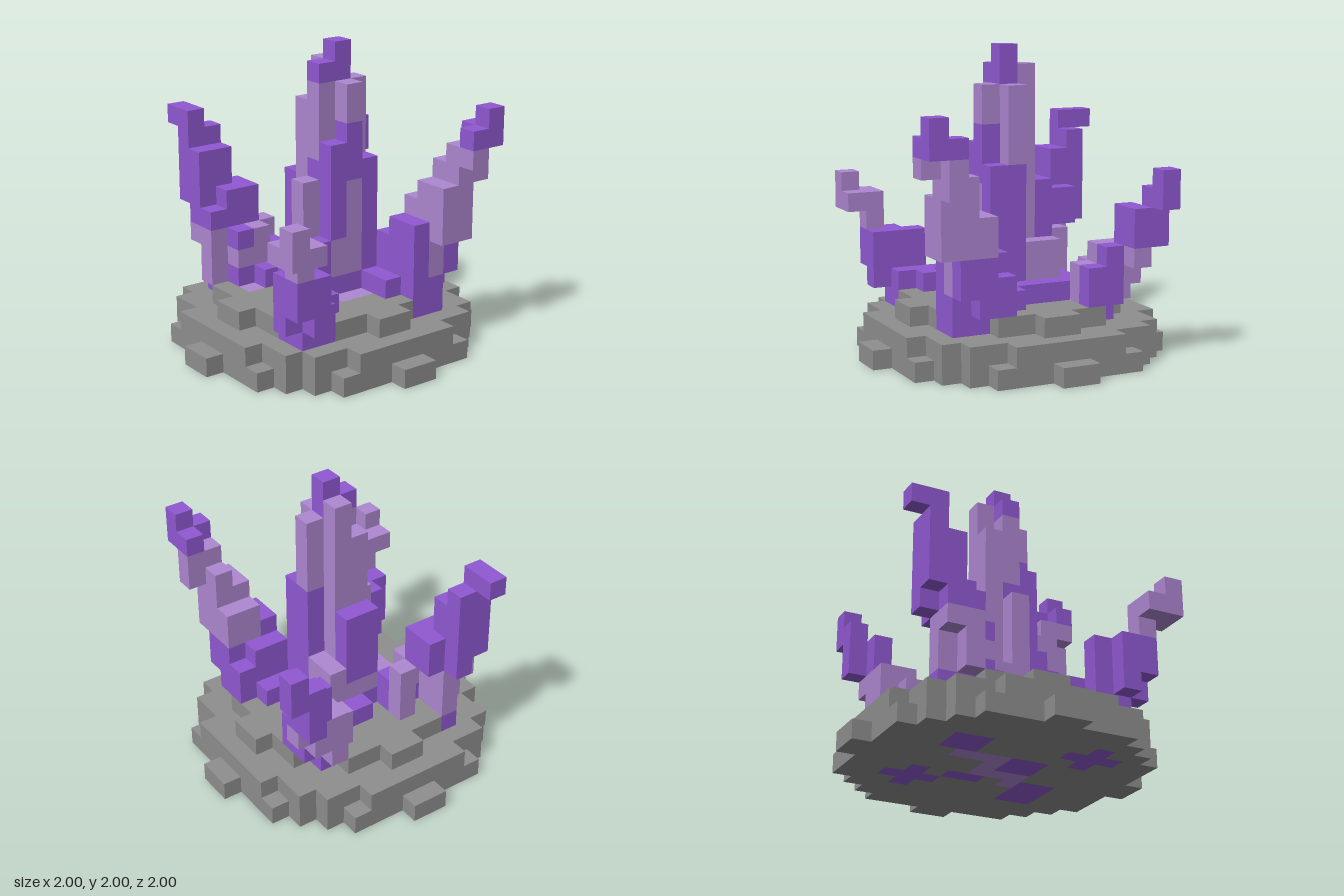
import * as THREE from 'three';
import { mergeGeometries } from 'three/addons/utils/BufferGeometryUtils.js';

const U = 0.125; // edge of one cube
const mat = (name, color) => Object.assign(new THREE.MeshStandardMaterial({ color }), { name });

// Block lists: [colour, x, z, bottom, top, width = 1, depth = 1] in cube units
const crystals = {
  centralSpire: [
    ['P', -3, -3, 3, 4, 5], ['P', -3, -2, 3, 4, 1, 2],
    ['L', -4, 1, 3, 6], ['P', -3, 1, 3, 5], ['P', -2, 1, 3, 4, 2], ['L', -2, 1, 4, 5, 2],
    ['P', 0, 1, 3, 4], ['L', 0, 1, 4, 9], ['P', 1, 1, 3, 6],
    ['L', 0, 2, 2, 3], ['L', 2, -1, 2, 3, 1, 2],
    ['P', -1, -1, 3, 4, 1, 2], ['L', -1, -1, 4, 15], ['L', -1, 0, 4, 13], ['L', -2, -2, 3, 6, 2],
    ['P', 0, -1, 3, 16],
    ['L', 0, 0, 4, 14], ['P', 0, 0, 9, 10], ['P', 0, 0, 14, 15],
    ['P', 1, -1, 3, 12], ['L', 1, -1, 12, 14], ['L', 1, -1, 4, 9],
    ['P', 1, 0, 3, 11], ['L', 1, 0, 4, 6],
    ['P', 0, -2, 3, 10], ['L', 0, -2, 10, 14], ['P', 1, -2, 3, 10],
    ['P', -2, -1, 5, 9, 1, 2], ['P', -2, -1, 3, 4, 1, 2], ['L', -2, -1, 4, 5, 1, 2],
  ],
  frontLeftCrystal: [
    ['P', -5, 3, 2, 3, 2], ['L', -5, 3, 3, 6, 2], ['L', -4, 4, 3, 6], ['L', -5, 4, 5, 6],
    ['P', -3, 3, 3, 6], ['L', -3, 3, 4, 5], ['P', -3, 2, 3, 4], ['L', -3, 2, 4, 6],
    ['P', -2, 2, 3, 4], ['L', -2, 3, 2, 3],
    ['P', -4, 4, 6, 7], ['P', -4, 3, 6, 8], ['P', -5, 2, 6, 8, 2], ['P', -5, 3, 6, 10, 1, 2],
    ['P', -6, 4, 7, 11], ['P', -6, 3, 6, 11], ['P', -7, 4, 11, 12, 2],
  ],
  frontRightCrystal: [
    ['P', 2, 3, 3, 4, 3], ['P', 3, 2, 3, 4], ['P', 3, 3, 2, 4, 2], ['P', 3, 4, 2, 6, 2],
    ['P', 5, 4, 3, 6], ['P', 4, 5, 3, 6], ['P', 5, 5, 4, 6],
    ['L', 5, 5, 6, 8], ['L', 6, 5, 7, 8], ['L', 5, 6, 7, 8], ['L', 6, 6, 7, 9],
  ],
  backRightCrystal: [
    ['P', 1, -4, 3, 4, 2], ['P', 2, -4, 3, 6, 1, 2], ['P', 2, -5, 3, 5], ['P', 2, -2, 3, 4, 2],
    ['P', 3, -4, 2, 6, 2], ['P', 3, -5, 3, 6], ['P', 4, -5, 4, 6], ['P', 3, -3, 2, 7, 2],
    ['L', 4, -4, 4, 6], ['L', 3, -5, 6, 8, 1, 2], ['L', 4, -4, 6, 9], ['L', 4, -5, 6, 10],
    ['L', 5, -4, 6, 9], ['L', 5, -5, 6, 11], ['L', 6, -5, 10, 11], ['P', 6, -5, 11, 12],
    ['L', 5, -6, 9, 11], ['P', 5, -6, 11, 12], ['P', 6, -6, 11, 13],
  ],
  backLeftCrystal: [
    ['P', -4, -4, 2, 3], ['L', -4, -4, 3, 6], ['L', -5, -4, 3, 6],
    ['L', -3, -4, 3, 5], ['L', -4, -3, 3, 5],
    ['L', -5, -5, 4, 6], ['P', -4, -5, 3, 6], ['P', -3, -5, 3, 5],
    ['P', -5, -5, 6, 8], ['L', -5, -6, 5, 6], ['P', -5, -6, 6, 8], ['P', -6, -6, 6, 9],
    ['P', -6, -7, 8, 10],
  ],
  // Crystal roots showing through the underside
  crystalRoots: [
    ['P', 2, 3, 0, 1, 3], ['P', 3, 2, 0, 1, 1, 3], ['P', 2, -4, 0, 1, 2, 3],
    ['P', -5, -3, 0, 1, 3], ['P', -4, -4, 0, 1, 1, 3], ['P', -4, 2, 0, 1, 2, 2],
    ['L', -3, 1, 0, 1, 3], ['L', -1, -1, 0, 1, 2, 2], ['P', -2, -2, 0, 1, 2],
    ['L', 1, -2, 0, 1, 1, 2], ['P', 0, 0, 0, 1, 2, 2],
  ],
};

export function createModel() {
  const materials = {
    G: mat('stone grey', 0x908f8f),
    P: mat('deep amethyst', 0x9159d3),
    L: mat('pale amethyst', 0xae87d1),
  };
  const cells = new Map();
  const key = (x, y, z) => `${x},${y},${z}`;
  const fill = (part, [color, x, z, y0, y1, w = 1, d = 1]) => {
    for (let i = x; i < x + w; i++)
      for (let k = z; k < z + d; k++)
        for (let j = y0; j < y1; j++) cells.set(key(i, j, k), { part, color, p: [i, j, k] });
  };

  // Stepped round base: three discs of cubes
  [7.6, 7.2, 5.6].forEach((r, j) => {
    for (let x = -8; x < 8; x++)
      for (let z = -8; z < 8; z++)
        if (Math.hypot(x + 0.5, z + 0.5) < r) fill('stoneBase', ['G', x, z, j, j + 1]);
  });
  for (const [part, blocks] of Object.entries(crystals)) blocks.forEach((b) => fill(part, b));

  // One square for each cube side: direction and rotation
  const h = Math.PI / 2;
  const sides = [
    [[0, 0, 1], 0, 0], [[0, 0, -1], 0, 2 * h], [[1, 0, 0], 0, h],
    [[-1, 0, 0], 0, -h], [[0, 1, 0], -h, 0], [[0, -1, 0], h, 0],
  ].map(([n, rx, ry]) => ({
    n,
    geo: new THREE.PlaneGeometry(U, U).rotateX(rx).rotateY(ry)
      .translate(n[0] * U / 2, n[1] * U / 2, n[2] * U / 2),
  }));

  // Keep only the exposed sides, gathered by part and colour
  const parts = {};
  for (const { part, color, p: [x, y, z] } of cells.values())
    for (const { n, geo } of sides) {
      if (cells.has(key(x + n[0], y + n[1], z + n[2]))) continue;
      const byColor = (parts[part] ??= {});
      (byColor[color] ??= []).push(
        geo.clone().translate((x + 0.5) * U, (y + 0.5) * U, (z + 0.5) * U));
    }

  const model = new THREE.Group();
  model.name = 'crystalCluster';
  const suffix = { G: 'Stone', P: 'Deep', L: 'Pale' };
  for (const [part, byColor] of Object.entries(parts)) {
    const group = new THREE.Group();
    group.name = part;
    for (const [color, geos] of Object.entries(byColor)) {
      const mesh = new THREE.Mesh(mergeGeometries(geos), materials[color]);
      mesh.name = part + suffix[color];
      group.add(mesh);
    }
    model.add(group);
  }
  return model;
}
